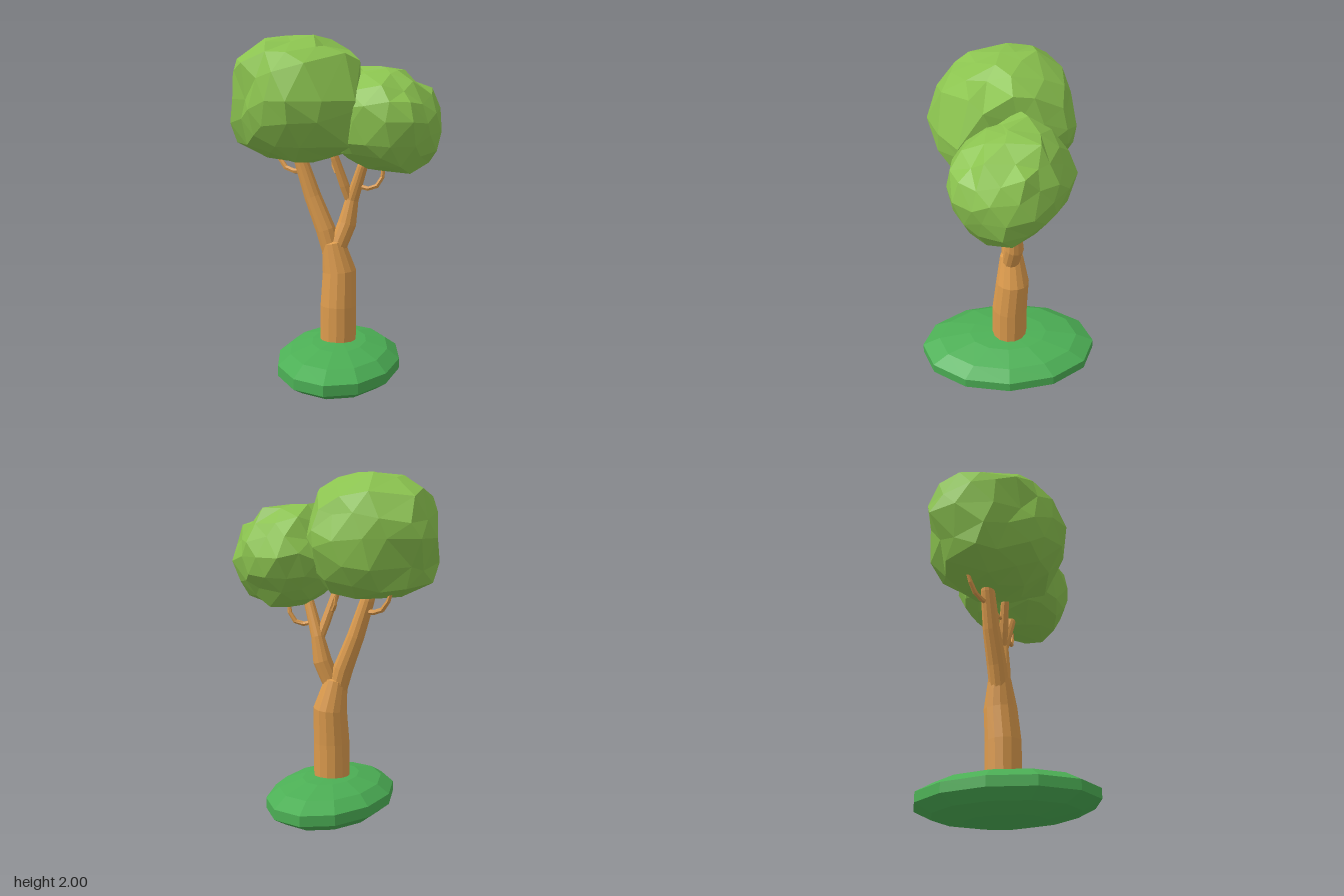
import * as THREE from 'three';

const bark = new THREE.MeshStandardMaterial({ color: 0xdc9b4d, flatShading: true });
const leaf = new THREE.MeshStandardMaterial({ color: 0x8bc34f, flatShading: true });
const grass = new THREE.MeshStandardMaterial({ color: 0x4caf55, flatShading: true });

function part(name, geometry, material) {
  const mesh = new THREE.Mesh(geometry, material);
  mesh.name = name;
  return mesh;
}

// Faceted limb through rings [x, y, z, radius], each ring square to the path
function limb(name, rings, sides) {
  const pts = rings.map(([x, y, z]) => new THREE.Vector3(x, y, z));
  const up = new THREE.Vector3(0, 1, 0);
  const pos = [], index = [];
  rings.forEach((ring, j) => {
    const dir = pts[Math.min(j + 1, pts.length - 1)].clone().sub(pts[Math.max(j - 1, 0)]).normalize();
    const q = new THREE.Quaternion().setFromUnitVectors(up, dir);
    for (let i = 0; i < sides; i++) {
      const a = (i / sides) * Math.PI * 2;
      const v = new THREE.Vector3(Math.cos(a), 0, Math.sin(a)).multiplyScalar(ring[3]);
      pos.push(...v.applyQuaternion(q).add(pts[j]).toArray());
      if (j === rings.length - 1) continue;
      const k = j * sides + i, n = j * sides + ((i + 1) % sides);
      index.push(k, k + sides, n + sides, k, n + sides, n);
    }
  });
  const geo = new THREE.BufferGeometry();
  geo.setAttribute('position', new THREE.Float32BufferAttribute(pos, 3));
  geo.setIndex(index);
  const flat = geo.toNonIndexed();
  flat.computeVertexNormals();
  return part(name, flat, bark);
}

// Repeatable value from 0 to 1 for a direction, equal for coincident corners
function hash(v, seed) {
  const [x, y, z] = v.toArray().map((n) => Math.round(n * 500));
  const s = Math.sin(x * 12.9898 + y * 78.233 + z * 37.719 + seed * 91.7) * 43758.5453;
  return s - Math.floor(s);
}

// Lumpy leaf mass: an icosphere whose corners snap to nearby outline points in
// the front (x, y), side (z, y) and top (x, z) planes or to extra points (x, y, z);
// other corners take a radius blended from those points, with small dents
function clump(name, centre, front, side, top, extra, seed) {
  const c = new THREE.Vector3(...centre);
  const knobs = [
    ...front.map(([x, y]) => new THREE.Vector3(x, y, c.z)),
    ...side.map(([z, y]) => new THREE.Vector3(c.x, y, z)),
    ...top.map(([x, z]) => new THREE.Vector3(x, c.y, z)),
    ...extra.map((e) => new THREE.Vector3(...e)),
  ].map((p) => {
    const d = p.sub(c), r = d.length();
    return { d: d.normalize(), r };
  });
  const geo = new THREE.IcosahedronGeometry(1, 2);
  geo.rotateX(seed).rotateY(seed * 2);
  const p = geo.attributes.position, v = new THREE.Vector3();
  for (let i = 0; i < p.count; i++) {
    v.fromBufferAttribute(p, i).normalize();
    const near = knobs.reduce((a, b) => (v.dot(b.d) > v.dot(a.d) ? b : a));
    if (v.dot(near.d) > 0.981) {
      v.copy(near.d).multiplyScalar(near.r);
    } else {
      let sum = 0, weight = 0;
      for (const k of knobs) {
        const w = 1 / ((1 - v.dot(k.d)) ** 2 + 0.0003);
        sum += w * k.r;
        weight += w;
      }
      // Deeper dents on the crown, and a sideways slide for uneven faces
      const dent = (0.07 + 0.09 * Math.max(0, v.y)) * hash(v, seed) ** 2;
      const slide = new THREE.Vector3(hash(v, 3) - 0.5, hash(v, 5) - 0.5, hash(v, 7) - 0.5);
      slide.addScaledVector(v, -slide.dot(v)).multiplyScalar(0.1);
      v.add(slide).normalize().multiplyScalar((sum / weight) * (1.02 - dent));
    }
    v.add(c);
    p.setXYZ(i, v.x, v.y, v.z);
  }
  geo.computeVertexNormals();
  return part(name, geo, leaf);
}

export function createModel() {
  const tree = new THREE.Group();
  tree.name = 'tree';

  // Flattened oval mound, turned diagonally
  const mound = new THREE.SphereGeometry(1, 12, 7).scale(0.541, 0.134, 0.361);
  mound.rotateY(-0.953).rotateZ(-0.02).translate(0.055, 0.136, -0.02);
  const moundFlat = mound.toNonIndexed();
  moundFlat.computeVertexNormals();
  tree.add(part('mound', moundFlat, grass));

  // Trunk and main branches
  tree.add(limb('trunk', [
    [0.045, 0.15, -0.022, 0.104], [0.045, 0.46, -0.025, 0.104], [0.038, 0.66, -0.04, 0.097],
    [0.012, 0.83, -0.015, 0.066], [0.012, 0.86, -0.015, 0],
  ], 14));
  tree.add(limb('frontBranch', [
    [0.015, 0.74, -0.015, 0.056], [-0.025, 0.9, 0.008, 0.058], [-0.093, 1.09, 0.045, 0.05],
    [-0.15, 1.3, 0.085, 0.041], [-0.19, 1.5, 0.12, 0.02],
  ], 12));
  tree.add(limb('backBranch', [
    [0.03, 0.78, -0.02, 0.052], [0.068, 0.94, -0.073, 0.054], [0.09, 1.08, -0.09, 0.038],
    [0.16, 1.27, -0.1, 0.03], [0.23, 1.45, -0.12, 0.015],
  ], 12));
  tree.add(limb('middleBranch', [
    [0.085, 1.06, -0.085, 0.027], [0.068, 1.16, -0.05, 0.028],
    [0.04, 1.32, 0, 0.024], [0.02, 1.48, 0.04, 0.012],
  ], 8));

  // Hooked twigs
  tree.add(limb('frontTwig', [
    [-0.14, 1.235, 0.07, 0.015], [-0.2, 1.232, 0.09, 0.015], [-0.255, 1.25, 0.105, 0.015],
    [-0.295, 1.3, 0.115, 0.013], [-0.34, 1.4, 0.12, 0.008],
  ], 6));
  tree.add(limb('backTwig', [
    [0.12, 1.16, -0.095, 0.014], [0.18, 1.145, -0.125, 0.014], [0.215, 1.16, -0.16, 0.014],
    [0.238, 1.21, -0.182, 0.013], [0.25, 1.32, -0.185, 0.008],
  ], 6));
  tree.add(limb('middleTwig', [
    [0.055, 1.225, -0.025, 0.012], [0.02, 1.235, -0.03, 0.012],
    [-0.005, 1.265, -0.035, 0.011], [-0.02, 1.36, -0.035, 0.007],
  ], 6));

  // Foliage
  tree.add(clump('largeFoliage', [-0.135, 1.65, 0.105],
    [[-0.58, 1.65], [-0.52, 1.87], [-0.37, 1.97], [-0.2, 2], [-0.02, 2], [0.06, 1.94], [0.22, 1.9],
      [0.3, 1.79], [0.31, 1.6], [0.26, 1.4], [0.08, 1.33], [-0.12, 1.3], [-0.46, 1.38], [-0.5, 1.5]],
    [[0.49, 1.6], [0.46, 1.86], [0.36, 1.96], [0.02, 2], [-0.12, 1.93], [-0.24, 1.8], [-0.28, 1.6],
      [-0.2, 1.42], [0.1, 1.3], [0.33, 1.36], [0.45, 1.46]],
    [[-0.58, 0.14], [-0.52, 0.27], [-0.36, 0.41], [-0.2, 0.45], [0, 0.49], [0.13, 0.46], [0.24, 0.3],
      [0.31, 0.12], [0.13, -0.1], [-0.02, -0.24], [-0.2, -0.28], [-0.4, -0.15], [-0.47, -0.04]],
    [[-0.28, 2, 0.02], [-0.42, 1.4, 0.33], [-0.4, 1.87, 0.34], [0.1, 1.4, 0.33]], 0.7));
  tree.add(clump('smallFoliage', [0.25, 1.54, -0.16],
    [[0.58, 1.53], [0.54, 1.63], [0.47, 1.75], [0.4, 1.81], [0.28, 1.82], [0.08, 1.83], [-0.05, 1.65],
      [-0.03, 1.42], [0.07, 1.3], [0.24, 1.25], [0.46, 1.25], [0.53, 1.35]],
    [[0.14, 1.5], [0.14, 1.61], [0.1, 1.7], [-0.02, 1.79], [-0.15, 1.83], [-0.35, 1.81], [-0.4, 1.72],
      [-0.46, 1.62], [-0.45, 1.44], [-0.38, 1.36], [-0.31, 1.25], [-0.06, 1.27], [0.08, 1.36]],
    [[0, -0.42], [0.15, -0.46], [0.3, -0.46], [0.48, -0.42], [0.56, -0.32], [0.58, -0.04],
      [0.48, 0.07], [0.3, 0.13], [0.1, 0.1], [-0.06, -0.02], [-0.08, -0.26]],
    [[0.06, 1.84, -0.08], [0.46, 1.3, -0.32]], 1.9));

  return tree;
}
